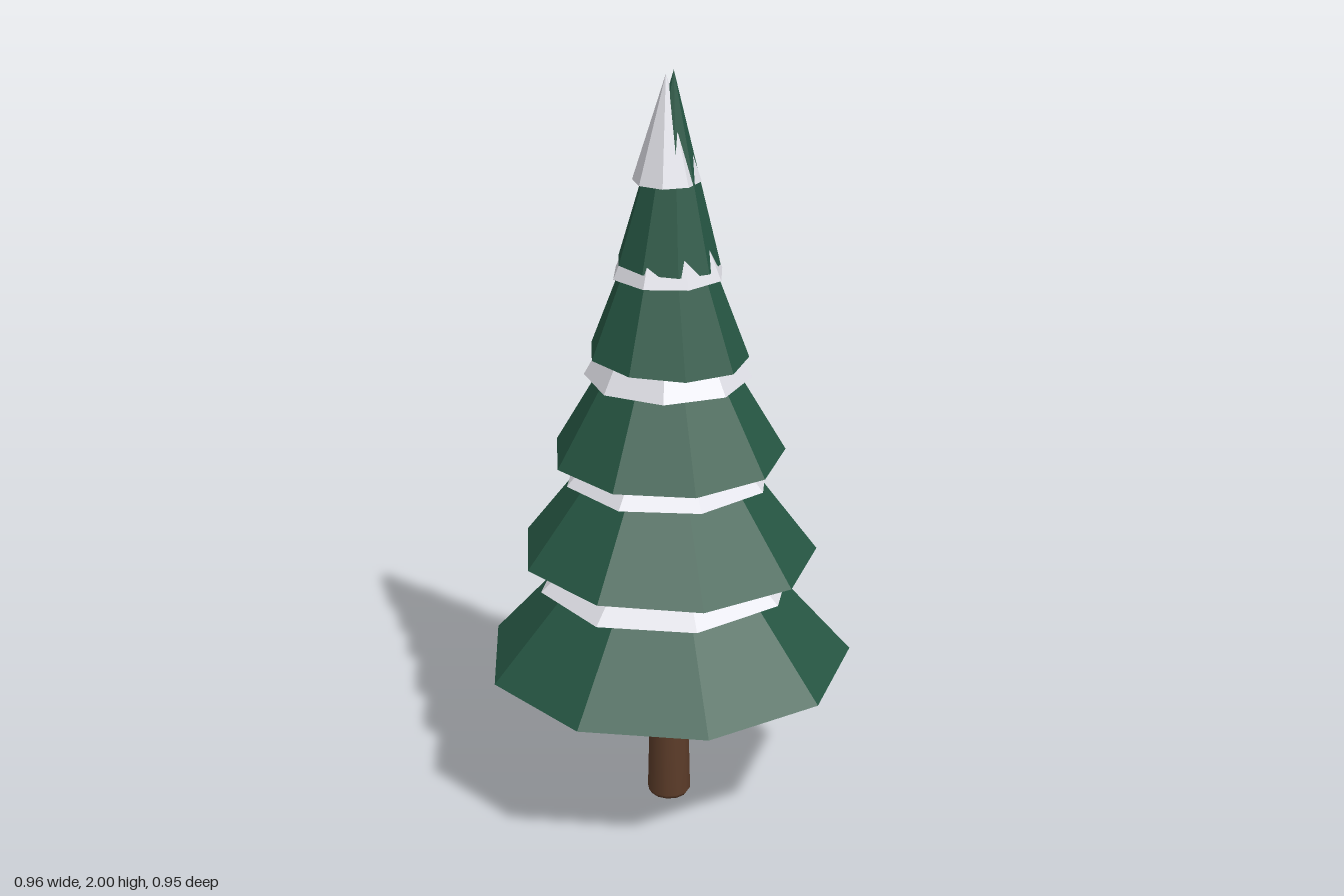
import * as THREE from 'three';

// Closed, faceted cone. The rim may tilt (tx, tz) and the apex may lean.
function tierGeometry({ sides, r, y, top, phase = 0, cx = 0, cz = 0, ax = 0, az = 0, tx = 0, tz = 0 }) {
  const rim = [];
  for (let i = 0; i < sides; i++) {
    const a = THREE.MathUtils.degToRad(phase) + (i / sides) * Math.PI * 2;
    const x = Math.sin(a) * r, z = -Math.cos(a) * r;
    rim.push([cx + x, y + tx * x + tz * z, cz + z]);
  }
  const apex = [ax, top, az], base = [cx, y, cz], pos = [];
  for (let i = 0; i < sides; i++) {
    const p = rim[i], q = rim[(i + 1) % sides];
    pos.push(...p, ...apex, ...q); // sloping face
    pos.push(...p, ...q, ...base); // underside
  }
  const g = new THREE.BufferGeometry();
  g.setAttribute('position', new THREE.Float32BufferAttribute(pos, 3));
  g.computeVertexNormals();
  return g;
}

export function createModel() {
  const tree = new THREE.Group();
  tree.name = 'snowyPine';

  const material = (name, color) => {
    const m = new THREE.MeshStandardMaterial({ color });
    m.name = name;
    return m;
  };
  const green = material('needleGreen', 0x265643);
  const white = material('snowWhite', 0xe9e9f0);
  const brown = material('barkBrown', 0x5c3c29);

  const add = (name, geometry, mat) => {
    const mesh = new THREE.Mesh(geometry, mat);
    mesh.name = name;
    tree.add(mesh);
  };

  // Round trunk with a slightly softened foot
  const profile = [[0, 0], [0.05, 0], [0.058, 0.012], [0.053, 0.22], [0.047, 0.5]];
  const trunk = new THREE.LatheGeometry(profile.map(([x, y]) => new THREE.Vector2(x, y)), 12);
  trunk.translate(0.003, 0, 0.006);
  add('trunk', trunk, brown);

  // Five nine-sided branch tiers, bottom to top
  [
    { r: 0.487, y: 0.423, top: 0.97, phase: 1, tz: -0.015, cz: 0.006 },
    { r: 0.392, y: 0.722, top: 1.24, phase: 0, tx: -0.02 },
    { r: 0.305, y: 0.998, top: 1.52, phase: 0, tz: -0.015 },
    { r: 0.207, y: 1.266, top: 1.81, phase: 1, tx: -0.05 },
    { r: 0.132, y: 1.51, top: 2.0, phase: 2, tx: -0.05, ax: 0.014 },
  ].forEach((t, i) => add(`branchTier${i + 1}`, tierGeometry({ sides: 9, ...t }), green));

  // Snow caps lying on each tier, the last one covering the tip
  [
    { r: 0.337, y: 0.638, top: 0.95, phase: 25, cx: -0.003, cz: 0.005, tx: 0.015 },
    { r: 0.272, y: 0.937, top: 1.24, phase: 20, cz: 0.006 },
    { r: 0.215, y: 1.21, top: 1.6, phase: -4, cz: 0.006 },
    { r: 0.146, y: 1.48, top: 1.82, phase: 18 },
    { r: 0.087, y: 1.722, top: 1.99, phase: 0, cx: -0.003, ax: -0.005, az: 0.004 },
  ].forEach((t, i) => add(`snowCap${i + 1}`, tierGeometry({ sides: 8, ...t }), white));

  return tree;
}
